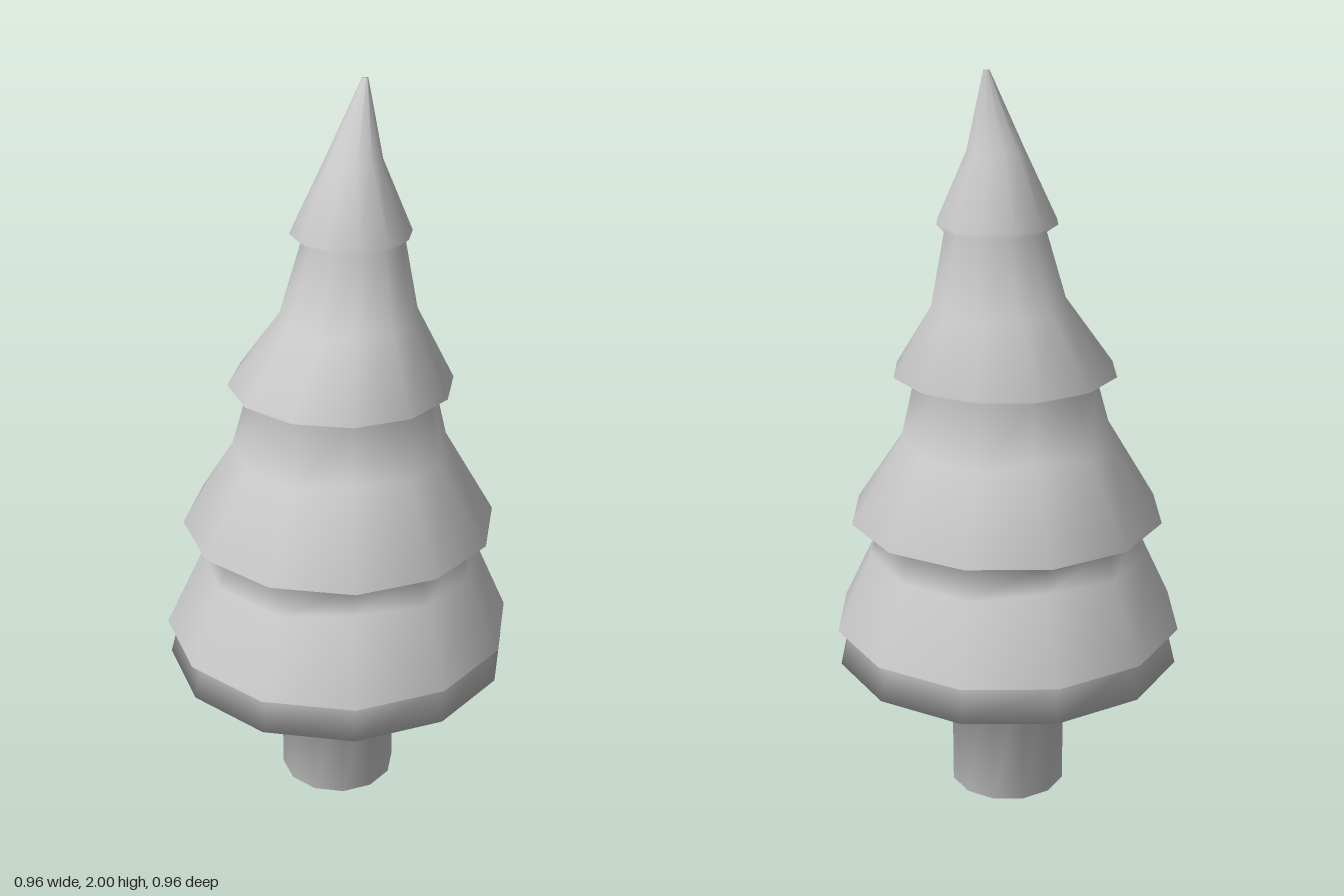
import * as THREE from 'three';

const SIDES = 12;

// Cross-sections from the ground up: [y, radius, centre x, centre z, wobble]
const TRUNK = [
  [0, 0, 0, 0, 0],
  [0, 0.162, 0, 0, 0],
  [0.41, 0.162, 0, 0, 0],
];
const FOLIAGE = [
  // skirt
  [0.41, 0.475, 0, 0, 0],
  [0.5, 0.452, 0, 0, 0],
  // first tier: lip, slope, neck
  [0.51, 0.48, 0, 0, 0],
  [0.72, 0.388, 0, -0.005, 0.012],
  [0.8, 0.365, -0.003, -0.007, 0],
  // second tier
  [0.82, 0.428, -0.003, -0.007, 0],
  [1.04, 0.3, -0.01, -0.015, 0.015],
  [1.2, 0.25, -0.01, -0.02, 0],
  // third tier
  [1.22, 0.301, -0.005, -0.015, 0],
  [1.4, 0.19, -0.013, -0.045, 0.012],
  [1.6, 0.134, -0.012, -0.058, 0],
  // top tier and tip
  [1.62, 0.159, -0.014, -0.052, 0],
  [1.8, 0.079, -0.018, -0.062, 0.006],
  [2.0, 0.008, -0.03, -0.105, 0],
  [2.0, 0, -0.03, -0.105, 0],
];

// Triangles joining neighbouring rings, from one ring up to another
function bandIndex(from, to) {
  const index = [];
  for (let r = from; r < to; r++) {
    for (let i = 0; i < SIDES; i++) {
      const j = (i + 1) % SIDES;
      const a = r * SIDES + i, b = r * SIDES + j;
      const c = a + SIDES, d = b + SIDES;
      index.push(a, c, b, b, c, d);
    }
  }
  return index;
}

export function createModel() {
  const rings = [...TRUNK, ...FOLIAGE];
  const positions = [];
  for (const [y, radius, cx, cz, wobble] of rings) {
    for (let i = 0; i < SIDES; i++) {
      const angle = (i / SIDES) * Math.PI * 2;
      // slopes swell and dip gently around the tree
      const rad = radius - wobble * Math.sin(angle * 2) ** 2;
      const lift = wobble * Math.sin(angle * 4);
      positions.push(cx + rad * Math.cos(angle), y + lift, cz + rad * Math.sin(angle));
    }
  }

  // Smooth normals over the whole tree, so the parts blend where they meet
  const whole = new THREE.BufferGeometry();
  whole.setAttribute('position', new THREE.Float32BufferAttribute(positions, 3));
  whole.setIndex(bandIndex(0, rings.length - 1));
  whole.computeVertexNormals();

  const material = new THREE.MeshStandardMaterial({ color: 0xcccccc });
  const tree = new THREE.Group();
  tree.name = 'tree';

  const addPart = (name, from, to) => {
    const geometry = new THREE.BufferGeometry();
    geometry.setAttribute('position', whole.getAttribute('position').clone());
    geometry.setAttribute('normal', whole.getAttribute('normal').clone());
    geometry.setIndex(bandIndex(from, to));
    const mesh = new THREE.Mesh(geometry, material);
    mesh.name = name;
    tree.add(mesh);
  };
  addPart('trunk', 0, TRUNK.length - 1);
  // foliage begins with the flat underside around the trunk
  addPart('foliage', TRUNK.length - 1, rings.length - 1);
  return tree;
}
